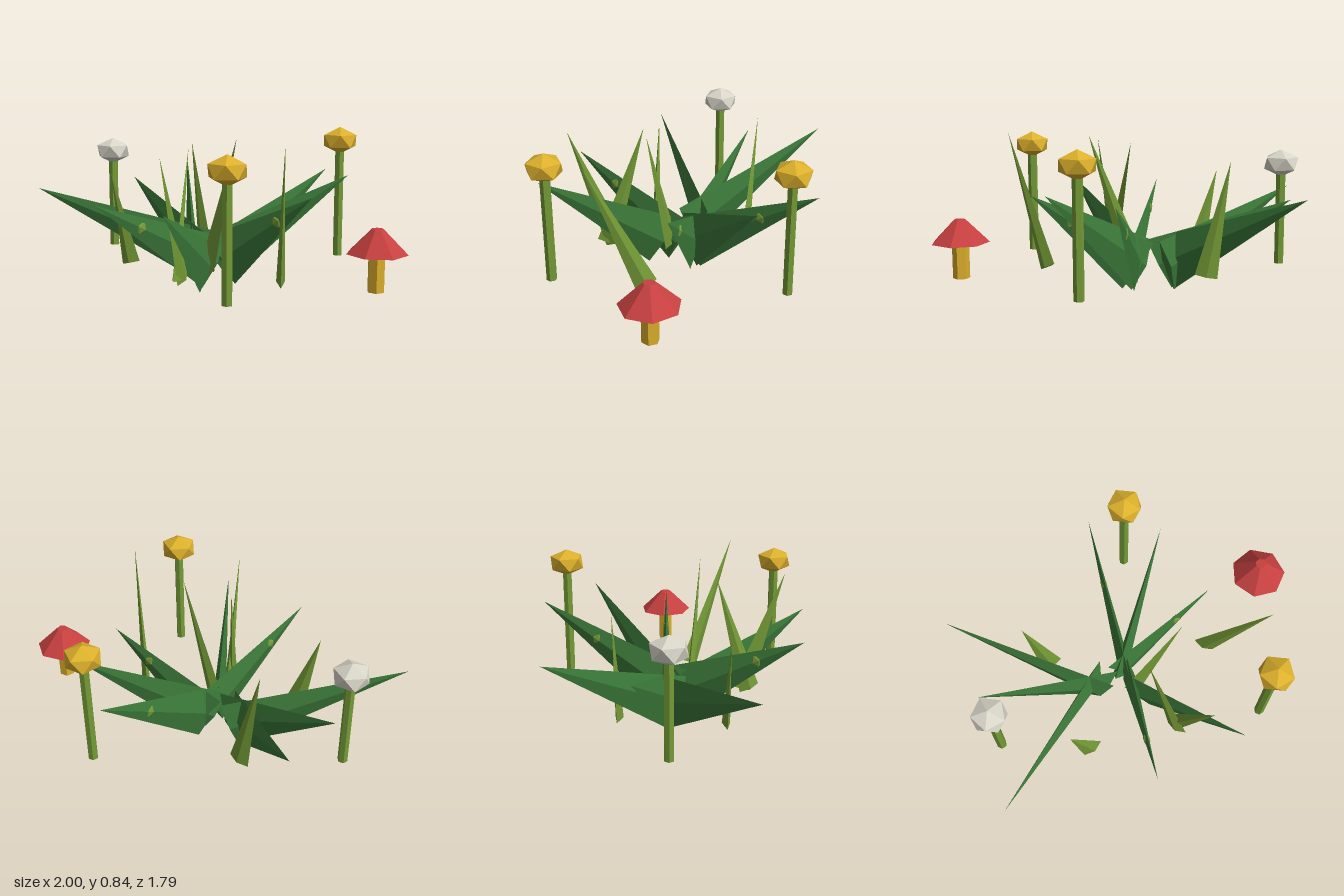
import * as THREE from 'three';

const mat = (name, color) => new THREE.MeshStandardMaterial({ name, color });

// Faceted normals for the low-poly look
function facet(geo) {
  const g = geo.index ? geo.toNonIndexed() : geo;
  g.computeVertexNormals();
  return g;
}

export function createModel() {
  const root = new THREE.Group();
  root.name = 'plantCluster';
  const leafGreen = mat('leafGreen', 0x3c7a3a);
  const grassGreen = mat('grassGreen', 0x759c37);
  const yellow = mat('yellow', 0xdcb02c);
  const white = mat('white', 0xd8d5c8);
  const red = mat('red', 0xc74040);

  function add(parent, name, geo, material, x = 0, y = 0, z = 0) {
    const mesh = new THREE.Mesh(facet(geo), material);
    mesh.name = name;
    mesh.position.set(x, y, z);
    parent.add(mesh);
    return mesh;
  }

  // Four-sided spike from base to tip, wide in the plane it leans in
  function blade(name, base, tip, radius, thin, material, spotAt) {
    const b = new THREE.Vector3(...base);
    const axis = new THREE.Vector3(...tip).sub(b);
    const length = axis.length();
    axis.normalize();
    const side = new THREE.Vector3(0, 1, 0).cross(axis).normalize();
    const wide = axis.clone().cross(side);
    const group = new THREE.Group();
    group.name = name;
    group.position.copy(b);
    group.quaternion.setFromRotationMatrix(new THREE.Matrix4().makeBasis(wide, axis, side));
    const geo = new THREE.ConeGeometry(radius, length, 4);
    geo.translate(0, length / 2, 0);
    geo.scale(1, 1, thin / radius);
    add(group, name + 'Spike', geo, material);
    // Pale lump set into the leaf
    if (spotAt) {
      const spot = new THREE.IcosahedronGeometry(0.036, 0);
      spot.scale(1, 1, 0.55);
      add(group, 'leafSpot', spot, grassGreen, 0, length * spotAt, 0);
    }
    root.add(group);
  }

  // Broad leaves: base, tip, spot position along the leaf
  const leaves = [
    [[-0.055, 0.15, -0.115], [-1, 0.5, -0.18]],
    [[-0.11, 0.15, -0.05], [-0.24, 0.585, -0.9]],
    [[0.05, 0.15, 0.02], [0.62, 0.595, -0.46], 0.58],
    [[0.025, 0.15, 0], [0.73, 0.615, -0.075], 0.5],
    [[0.06, 0.15, -0.01], [0.535, 0.55, 0.3], 0.63],
    [[-0.025, 0.15, 0.14], [-0.145, 0.54, 0.785]],
    [[0.02, 0.15, 0.06], [-0.535, 0.52, 0.46], 0.63],
    [[-0.06, 0.15, -0.05], [-0.524, 0.515, -0.578]],
  ];
  for (const [base, tip, spot] of leaves) blade('broadLeaf', base, tip, 0.15, 0.036, leafGreen, spot);

  // Upright grass blades
  const grass = [
    [[-0.435, 0.135, 0.04], [-0.55, 0.62, -0.02]],
    [[-0.11, 0.135, 0.38], [-0.187, 0.787, 0.605]],
    [[-0.135, 0.135, 0.42], [-0.096, 0.79, 0.215]],
    [[0.385, 0.135, 0.365], [0.405, 0.845, 0.675]],
    [[-0.01, 0.135, 0.1], [0.155, 0.845, 0.28]],
    [[-0.075, 0.135, -0.385], [-0.16, 0.74, -0.47]],
  ];
  for (const [base, tip] of grass) blade('grassBlade', base, tip, 0.06, 0.022, grassGreen);

  // Flowers: x, z, head height, head colour
  const flowers = [
    [-0.62, -0.43, 0.69, white],
    [0.15, 0.8, 0.755, yellow],
    [0.69, -0.275, 0.78, yellow],
  ];
  for (const [x, z, y, color] of flowers) {
    const flower = new THREE.Group();
    flower.name = 'flower';
    flower.position.set(x, 0, z);
    add(flower, 'flowerStem', new THREE.CylinderGeometry(0.027, 0.027, y - 0.13, 6), grassGreen, 0, (y + 0.13) / 2, 0);
    const head = new THREE.IcosahedronGeometry(0.103, 0);
    head.rotateX(-Math.atan((1 + Math.sqrt(5)) / 2)); // point a corner upward
    head.scale(1, 0.72, 1);
    add(flower, 'flowerHead', head, color, 0, y, 0);
    root.add(flower);
  }

  // Mushroom
  const mushroom = new THREE.Group();
  mushroom.name = 'mushroom';
  mushroom.position.set(0.848, 0, 0.495);
  add(mushroom, 'mushroomStem', new THREE.CylinderGeometry(0.044, 0.044, 0.22, 6), yellow, 0, 0.24, 0);
  const cap = new THREE.CylinderGeometry(0.03, 0.152, 0.12, 7);
  cap.rotateY(Math.PI);
  add(mushroom, 'mushroomCap', cap, red, 0, 0.38, 0);
  root.add(mushroom);

  return root;
}
